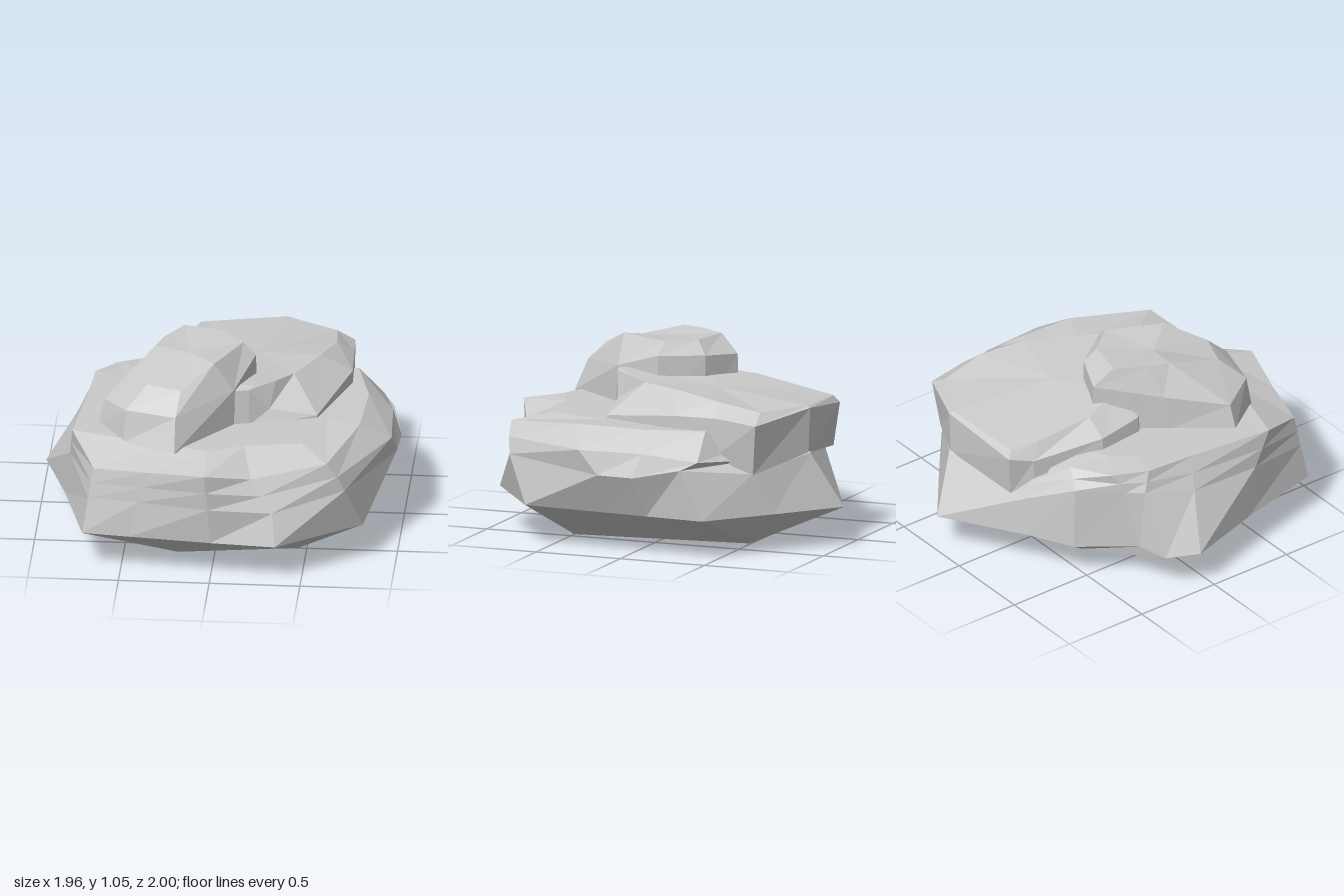
import * as THREE from 'three';

const material = new THREE.MeshStandardMaterial({ color: 0xcccccc, flatShading: true, side: THREE.DoubleSide });

// Skin a stack of closed rings (lowest first, counterclockwise from above) and cap both ends
function loft(name, rings) {
  const out = [];
  const tri = (...corners) => corners.forEach((p) => out.push(...p));
  const centre = (ring) => [0, 1, 2].map((k) => ring.reduce((s, p) => s + p[k], 0) / ring.length);
  const n = rings[0].length;
  const last = rings[rings.length - 1];
  const low = centre(rings[0]);
  const high = centre(last);
  for (let j = 0; j < n; j++) {
    const k = (j + 1) % n;
    for (let i = 0; i < rings.length - 1; i++) {
      const [a, b, c, d] = [rings[i][j], rings[i][k], rings[i + 1][k], rings[i + 1][j]];
      tri(a, b, c);
      tri(a, c, d);
    }
    tri(low, rings[0][k], rings[0][j]);
    tri(high, last[j], last[k]);
  }
  const geometry = new THREE.BufferGeometry();
  geometry.setAttribute('position', new THREE.Float32BufferAttribute(out, 3));
  geometry.computeVertexNormals();
  const mesh = new THREE.Mesh(geometry, material);
  mesh.name = name;
  return mesh;
}

// Wide base boulder: five-sided foot, widest edge, craggy wall, side ledge and flat shelf
function baseRock() {
  const corners = [[-0.2, 0, 0.6], [0.45, 0, 0.5], [0.33, 0, -0.49], [-0.27, 0, -0.36], [-0.55, 0, 0.22]];
  const foot = [0, 1, 1, 1, 2, 2, 2, 2, 3, 3, 3, 3, 4, 4, 0, 0].map((i) => corners[i]);
  const edge = [
    [0, 0.22, 0.95], [0.36, 0.22, 0.98], [0.82, 0.22, 0.64], [0.85, 0.22, 0.2],
    [0.87, 0.22, -0.1], [0.89, 0.22, -0.44], [0.55, 0.22, -0.72], [0.2, 0.22, -1],
    [-0.25, 0.22, -0.72], [-0.5, 0.22, -0.59], [-0.72, 0.22, -0.3], [-0.9, 0.22, -0.26],
    [-0.98, 0.22, -0.08], [-0.84, 0.22, 0.36], [-0.71, 0.22, 0.87], [-0.45, 0.22, 0.9],
  ];
  const wall = [
    [-0.01, 0.43, 0.98], [0.34, 0.4, 0.93], [0.73, 0.48, 0.77], [0.97, 0.45, 0.15],
    [0.98, 0.45, -0.06], [0.92, 0.5, -0.32], [0.62, 0.45, -0.63], [0.3, 0.53, -0.84],
    [-0.22, 0.44, -0.72], [-0.5, 0.58, -0.58], [-0.66, 0.56, -0.35], [-0.74, 0.57, -0.28],
    [-0.82, 0.52, 0], [-0.81, 0.5, 0.43], [-0.68, 0.42, 0.84], [-0.4, 0.43, 0.9],
  ];
  const rim = [
    [-0.03, 0.64, 1], [0.22, 0.58, 0.88], [0.63, 0.65, 0.8], [0.78, 0.69, 0.36],
    [0.8, 0.69, -0.05], [0.72, 0.69, -0.39], [0.5, 0.58, -0.55], [0.2, 0.6, -0.72],
    [-0.2, 0.6, -0.64], [-0.39, 0.66, -0.53], [-0.61, 0.67, -0.41], [-0.72, 0.69, -0.24],
    [-0.74, 0.69, 0.05], [-0.79, 0.69, 0.54], [-0.65, 0.59, 0.82], [-0.35, 0.61, 0.9],
  ];
  // the ledge lies halfway up the wall except where the right side bulges
  const bulge = { 2: [0.69, 0.57, 0.79], 3: [0.95, 0.58, 0.27], 4: [0.93, 0.58, -0.1], 5: [0.86, 0.54, -0.4] };
  const ledge = wall.map((p, i) => bulge[i] ?? p.map((v, k) => (v + rim[i][k]) / 2));
  const shelf = rim.map(([x, , z]) => [x * 0.76, 0.685, z * 0.76]);
  return loft('baseRock', [foot, edge, wall, ledge, rim, shelf]);
}

// Sloping middle slab at the back, with a small chipped notch in front
function middleSlab() {
  const lower = [
    [0.09, 0.67, 0.39], [0.17, 0.67, 0.37], [0.29, 0.67, 0.34], [0.54, 0.67, 0.27],
    [0.7, 0.6, -0.2], [0.69, 0.54, -0.42], [0.64, 0.45, -0.64], [0.3, 0.53, -0.83],
    [-0.18, 0.48, -0.78], [-0.26, 0.58, -0.68], [-0.39, 0.66, -0.3], [-0.36, 0.67, -0.03],
  ];
  const upper = [
    [0.09, 0.88, 0.38], [0.17, 0.88, 0.36], [0.28, 0.75, 0.31], [0.54, 0.7, 0.27],
    [0.7, 0.76, -0.2], [0.69, 0.76, -0.45], [0.68, 0.73, -0.67], [0.3, 0.78, -0.84],
    [-0.2, 0.72, -0.81], [-0.26, 0.69, -0.68], [-0.38, 0.75, -0.3], [-0.35, 0.77, -0.03],
  ];
  const top = [
    [0.09, 0.89, 0.32], [0.2, 0.89, 0.31], [0.31, 0.88, 0.22], [0.4, 0.87, 0.1],
    [0.53, 0.87, -0.16], [0.6, 0.84, -0.4], [0.58, 0.79, -0.66], [0.29, 0.79, -0.82],
    [-0.18, 0.76, -0.78], [-0.22, 0.78, -0.62], [-0.26, 0.83, -0.3], [-0.18, 0.87, -0.05],
  ];
  return loft('middleSlab', [lower, upper, top]);
}

// Blocky cap stone set diagonally on top
function topStone() {
  const lower = [
    [-0.21, 0.67, 0.77], [0.09, 0.67, 0.39], [0.2, 0.67, 0.11], [0.04, 0.67, -0.11],
    [-0.18, 0.67, -0.22], [-0.42, 0.67, 0.1], [-0.66, 0.67, 0.41], [-0.5, 0.67, 0.64],
  ];
  const shoulder = [
    [-0.21, 0.85, 0.69], [0.09, 0.89, 0.39], [0.19, 0.98, 0.11], [0.04, 0.97, -0.11],
    [-0.18, 0.95, -0.21], [-0.41, 0.88, 0.1], [-0.62, 0.82, 0.4], [-0.49, 0.85, 0.61],
  ];
  const crown = [
    [-0.19, 0.96, 0.57], [-0.02, 1.05, 0.4], [0.12, 1.05, 0.1], [0, 1.05, -0.05],
    [-0.22, 1.05, -0.1], [-0.32, 1.05, 0.06], [-0.36, 1.05, 0.18], [-0.38, 0.96, 0.5],
  ];
  return loft('topStone', [lower, shoulder, crown]);
}

export function createModel() {
  const group = new THREE.Group();
  group.name = 'rockPile';
  group.add(baseRock(), middleSlab(), topStone());
  return group;
}
